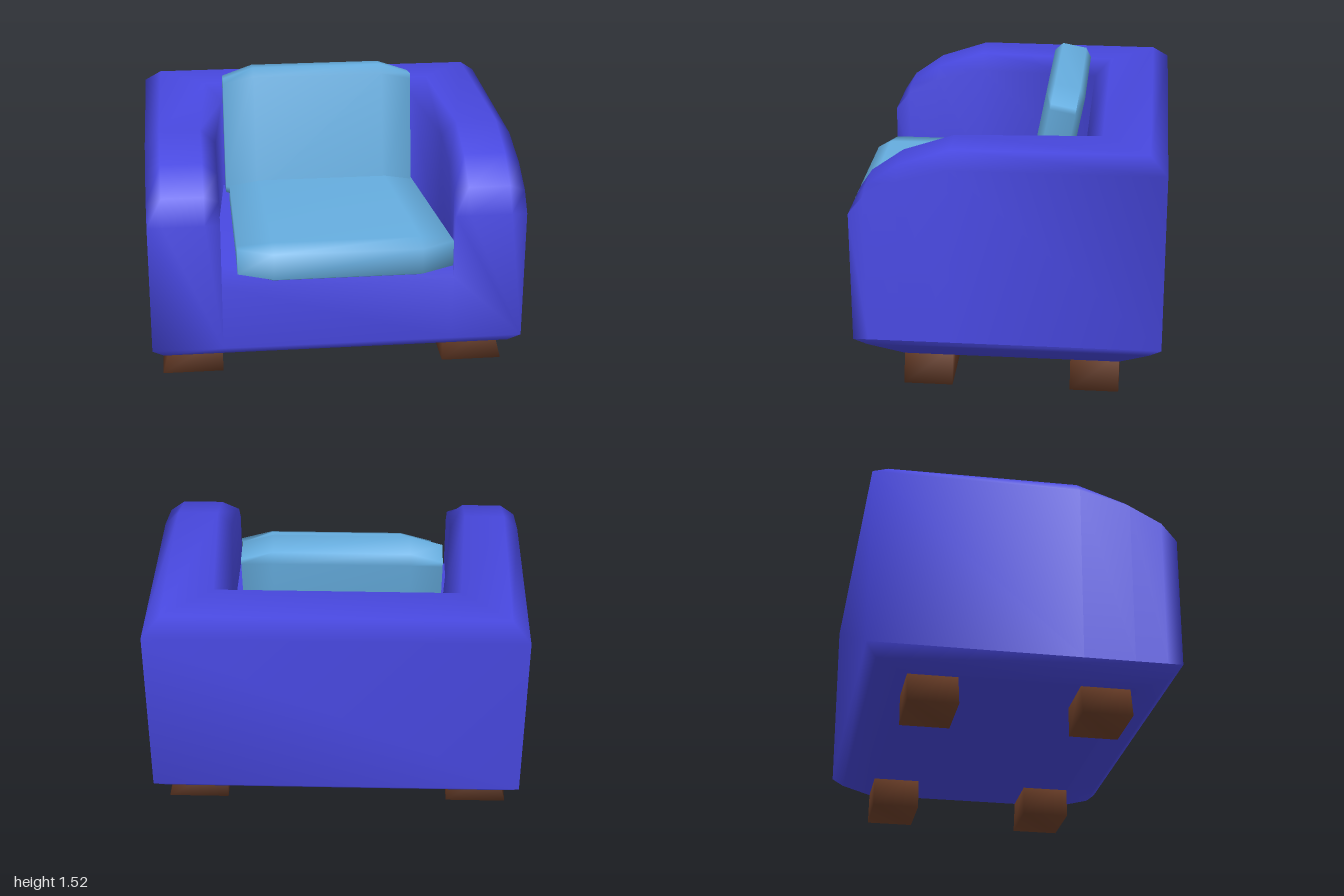
import * as THREE from 'three';
import { mergeVertices } from 'three/addons/utils/BufferGeometryUtils.js';

const BLUE = new THREE.MeshStandardMaterial({ color: 0x4848e0, side: THREE.DoubleSide });
const LIGHT = new THREE.MeshStandardMaterial({ color: 0x66aee0 });
const BROWN = new THREE.MeshStandardMaterial({ color: 0x6b3e28 });

// Weld coincident corners so the surface shades softly
function smooth(geo) {
  geo.deleteAttribute('normal');
  geo.deleteAttribute('uv');
  const g = mergeVertices(geo, 1e-4);
  g.computeVertexNormals();
  return g;
}

function makeMesh(name, geo, material) {
  const m = new THREE.Mesh(geo, material);
  m.name = name;
  return m;
}

// Quads between neighbouring rows of points
function skin(out, rows) {
  for (let i = 0; i + 1 < rows.length; i++) {
    for (let j = 0; j + 1 < rows[i].length; j++) {
      const a = rows[i][j], b = rows[i][j + 1], c = rows[i + 1][j + 1], d = rows[i + 1][j];
      out.push(...a, ...b, ...c, ...a, ...c, ...d);
    }
  }
}

function fan(out, pts) {
  for (let i = 1; i + 1 < pts.length; i++) out.push(...pts[0], ...pts[i], ...pts[i + 1]);
}

function bodyGeometry() {
  const out = [];

  // Arms and back: one rounded section swept round a U
  const section = ([ox, oz, ix, iz, h, bevel], s) => [
    [0, 0.28], [0, h - bevel], [0.21, h], [0.79, h], [1, h - bevel], [1, 0.64], [1, 0.28],
  ].map(([t, y]) => [s * (ox + (ix - ox) * t), y, oz + (iz - oz) * t]);
  const stations = [
    [1, 0.78, 0.62, 0.78, 1.0, 0],
    [1, 0.70, 0.62, 0.70, 1.13, 0.03],
    [1, 0.53, 0.62, 0.53, 1.25, 0.06],
    [1, 0.26, 0.62, 0.26, 1.34, 0.08],
    [1, -0.85, 0.56, -0.42, 1.34, 0.08],
  ];
  const rightSide = stations.map(p => section(p, -1));
  const leftSide = stations.map(p => section(p, 1)).reverse();
  skin(out, [...rightSide, ...leftSide]);

  // Flat arm fronts
  fan(out, leftSide[leftSide.length - 1]);
  fan(out, [...rightSide[0]].reverse());

  // Bevelled underside
  const rings = [[0.16, 0.91, 0.52, -0.63], [0.22, 0.94, 0.72, -0.79], [0.28, 1, 0.78, -0.85]]
    .map(([y, x, f, b]) => [
      [x, y, b], [-x, y, b], [-x, y, f], [-0.62, y, f], [0.62, y, f], [x, y, f], [x, y, b],
    ]);
  skin(out, rings);
  fan(out, rings[0].slice(0, 6).reverse());

  // Front apron and seat deck
  const profile = [[0.28, 0.78], [0.64, 0.78], [0.73, 0.70], [0.73, -0.45]];
  skin(out, [0.62, -0.62].map(x => profile.map(([y, z]) => [x, y, z])));

  const geo = new THREE.BufferGeometry();
  geo.setAttribute('position', new THREE.Float32BufferAttribute(out, 3));
  return smooth(geo);
}

// Pillow: thin rim, cut corners, full thickness inside; optional shear and taper
function cushionGeometry(w, h, d, shear = 0, taper = 0) {
  const geo = new THREE.BoxGeometry(2, 2, 2, 3, 1, 3);
  const p = geo.attributes.position;
  for (let i = 0; i < p.count; i++) {
    let x = p.getX(i), y = p.getY(i), z = p.getZ(i);
    const rimX = Math.abs(x) > 0.9, rimZ = Math.abs(z) > 0.9;
    if (rimX || rimZ) y *= 0.65;
    if (!rimX) x = Math.sign(x) * 0.68;
    if (!rimZ) z = Math.sign(z) * 0.87;
    if (rimX) z *= rimZ ? 0.85 : 0.88;
    p.setXYZ(i, x * (w / 2 + taper * z) + shear * z, y * h / 2, z * d / 2);
  }
  return smooth(geo);
}

// Foot block flaring outward at the floor
function footGeometry(s) {
  const geo = new THREE.BoxGeometry(2, 0.2, 0.26);
  const p = geo.attributes.position;
  for (let i = 0; i < p.count; i++) {
    const outer = p.getX(i) * s > 0, top = p.getY(i) > 0;
    p.setX(i, s * (outer ? (top ? 0.9 : 0.95) : 0.617));
    p.setY(i, top ? 0.2 : 0);
  }
  return smooth(geo);
}

export function createModel() {
  const chair = new THREE.Group();
  chair.name = 'armchair';
  chair.add(makeMesh('body', bodyGeometry(), BLUE));

  const seat = makeMesh('seatCushion', cushionGeometry(1.1, 0.22, 1.13, 0.03, 0.03), LIGHT);
  seat.position.set(0.015, 0.78, 0.285);
  chair.add(seat);

  const back = makeMesh('backCushion', cushionGeometry(1.07, 0.21, 0.77), LIGHT);
  back.position.set(-0.02, 1.125, -0.235);
  back.rotation.x = -(Math.PI / 2 + 0.19);
  chair.add(back);

  for (const [sideName, s] of [['Left', 1], ['Right', -1]]) {
    for (const [endName, z] of [['front', 0.39], ['back', -0.5]]) {
      const foot = makeMesh(endName + sideName + 'Foot', footGeometry(s), BROWN);
      foot.position.z = z;
      chair.add(foot);
    }
  }
  return chair;
}
